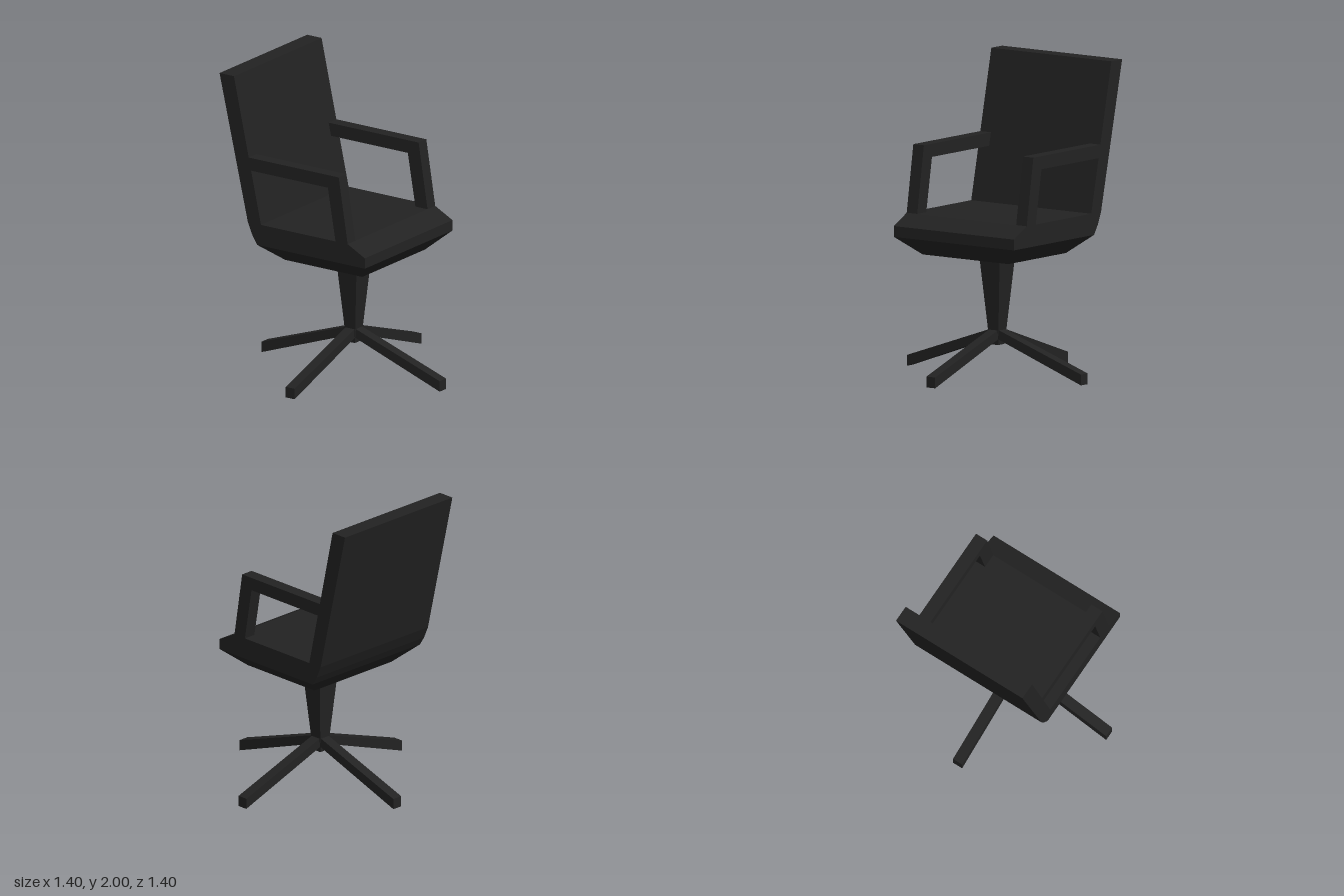
import * as THREE from 'three';

const material = new THREE.MeshStandardMaterial({ color: 0x222222, flatShading: true });

function add(parent, name, geometry) {
  const mesh = new THREE.Mesh(geometry, material);
  mesh.name = name;
  parent.add(mesh);
  return mesh;
}

// Side profile given as [z, y] points, extruded between x0 and x1
function sideExtrude(points, x0, x1) {
  const shape = new THREE.Shape(points.map(([z, y]) => new THREE.Vector2(z, y)));
  const geometry = new THREE.ExtrudeGeometry(shape, { depth: x1 - x0, bevelEnabled: false });
  return geometry.rotateY(-Math.PI / 2).translate(x1, 0, 0);
}

// Box between two rectangles [x0, x1, z0, z1] at heights y0 and y1
function taperedBox(y0, bottom, y1, top) {
  const geometry = new THREE.BoxGeometry(1, 1, 1);
  const p = geometry.attributes.position;
  for (let i = 0; i < p.count; i++) {
    const upper = p.getY(i) > 0;
    const r = upper ? top : bottom;
    p.setXYZ(i, p.getX(i) < 0 ? r[0] : r[1], upper ? y1 : y0, p.getZ(i) < 0 ? r[2] : r[3]);
  }
  geometry.computeVertexNormals();
  return geometry;
}

export function createModel() {
  const chair = new THREE.Group();
  chair.name = 'officeChair';
  const left = 0.47, right = -0.495, armWidth = 0.085;

  // Seat and reclined backrest share one continuous side profile
  add(chair, 'seatAndBackrest', sideExtrude([
    [0.44, 0.9], [0.44, 0.97], [0.305, 1.04], [-0.375, 1.04], [-0.587, 2],
    [-0.7, 2], [-0.478, 1.04], [-0.443, 0.96], [-0.405, 0.9],
  ], right, left));

  // Underside tapering in towards the column
  add(chair, 'seatUnderside', taperedBox(
    0.785, [-0.355, 0.335, -0.285, 0.32],
    0.9, [right, left, -0.405, 0.44],
  ));

  // Armrests: slanted front post and a level rail running into the backrest
  const armProfile = [
    [0.305, 1.04], [0.235, 1.475], [-0.472, 1.475], [-0.453, 1.39], [0.15, 1.39], [0.21, 1.04],
  ];
  add(chair, 'leftArmrest', sideExtrude(armProfile, left - armWidth, left));
  add(chair, 'rightArmrest', sideExtrude(armProfile, right, right + armWidth));

  // Square column narrowing down to the hub
  add(chair, 'column', taperedBox(
    0.2, [-0.034, 0.034, -0.034, 0.034],
    0.785, [-0.083, 0.083, -0.083, 0.083],
  ));

  // Four sloping legs with vertical ends
  const base = new THREE.Group();
  base.name = 'legBase';
  const legGeometry = sideExtrude([[0, 0.31], [0.7, 0.07], [0.7, 0], [0, 0.25]], -0.035, 0.035);
  ['frontLeg', 'leftLeg', 'backLeg', 'rightLeg'].forEach((name, i) => {
    add(base, name, legGeometry).rotation.y = i * Math.PI / 2;
  });
  chair.add(base);

  return chair;
}
